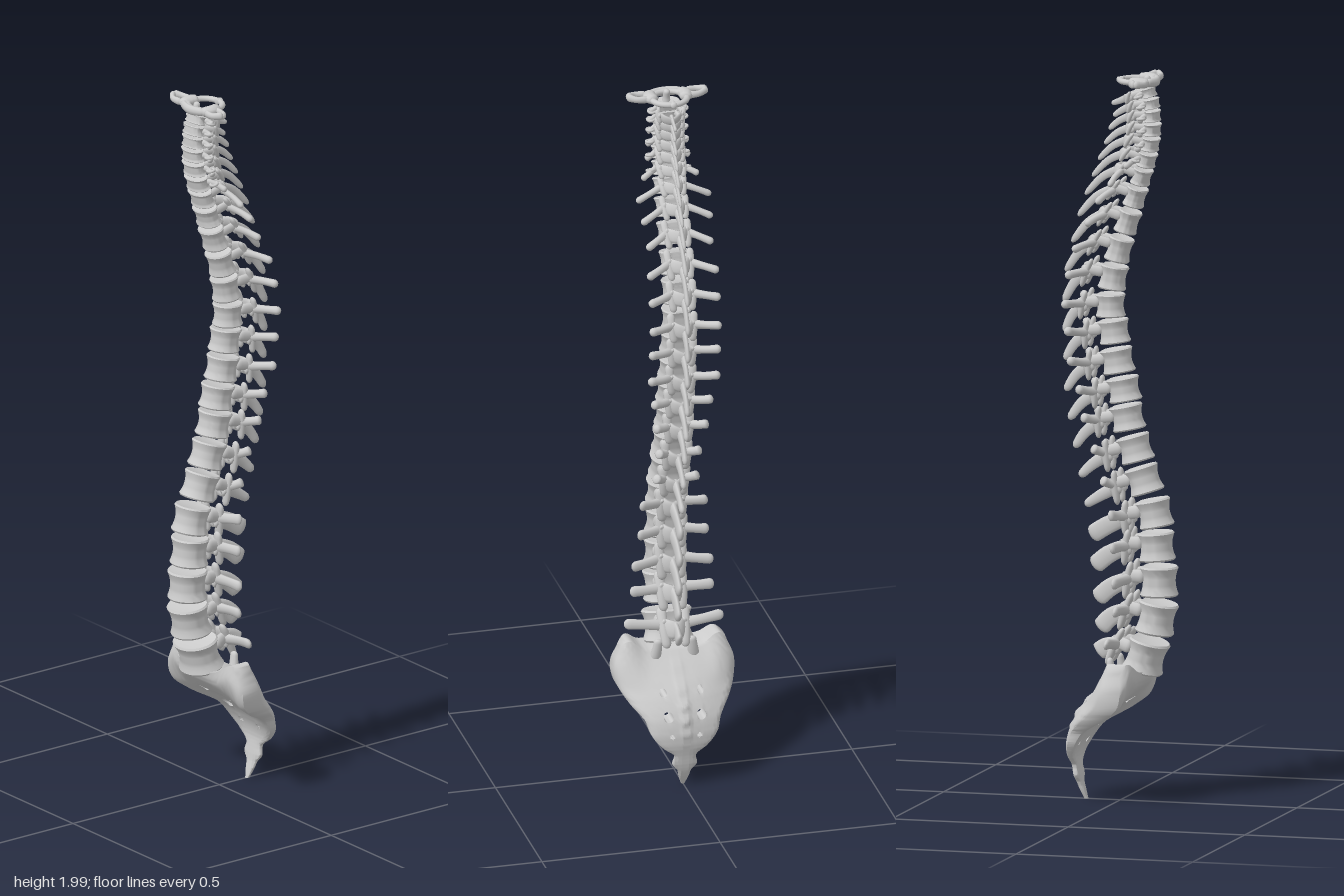
import * as THREE from 'three';
import { toCreasedNormals } from 'three/addons/utils/BufferGeometryUtils.js';

const bone = new THREE.MeshStandardMaterial({ color: 0xcccccc, side: THREE.DoubleSide });
const X_AXIS = new THREE.Vector3(1, 0, 0);
const SIDES = [1, -1];

function addMesh(parent, name, geometry) {
  const mesh = new THREE.Mesh(geometry, bone);
  mesh.name = name;
  parent.add(mesh);
  return mesh;
}

function indexed(pos, idx) {
  const g = new THREE.BufferGeometry();
  g.setAttribute('position', new THREE.Float32BufferAttribute(pos, 3));
  g.setIndex(idx);
  g.computeVertexNormals();
  return g;
}

// Piecewise linear lookup through [index, value] keys
function key(keys, i) {
  let k = 0;
  while (k < keys.length - 2 && i > keys[k + 1][0]) k++;
  const [[a, va], [b, vb]] = [keys[k], keys[k + 1]];
  return THREE.MathUtils.lerp(va, vb, THREE.MathUtils.clamp((i - a) / (b - a), 0, 1));
}

// Round-ended bony spur: each node is [x, y, z, thickness, height]
function limb(nodes, mirror = 1, steps = 14, around = 10) {
  const path = new THREE.CatmullRomCurve3(nodes.map(n => new THREE.Vector3(n[0] * mirror, n[1], n[2])));
  const radii = new THREE.CatmullRomCurve3(nodes.map(n => new THREE.Vector3(n[3], n[4], 0)));
  const dir = path.getPoint(1).sub(path.getPoint(0)).normalize();
  const ref = Math.abs(dir.y) > 0.85 ? new THREE.Vector3(0, 0, 1) : new THREE.Vector3(0, 1, 0);
  const pos = [], idx = [];
  for (let i = 0; i <= steps; i++) {
    const t = (1 - Math.cos(Math.PI * i / steps)) / 2;
    const c = path.getPoint(t), T = path.getTangent(t), r = radii.getPoint(t);
    const side = T.clone().cross(ref).normalize(), up = side.clone().cross(T);
    const end = Math.max(0, 1 - Math.min(t, 1 - t) / 0.14);
    const round = Math.sqrt(Math.max(0, 1 - end * end));
    for (let j = 0; j < around; j++) {
      const q = 2 * Math.PI * j / around;
      const p = c.clone().addScaledVector(side, r.x * round * Math.cos(q)).addScaledVector(up, r.y * round * Math.sin(q));
      pos.push(p.x, p.y, p.z);
      if (i < steps) {
        const a = i * around + j, b = i * around + (j + 1) % around;
        idx.push(a, a + around, b, a + around, b + around, b);
      }
    }
  }
  return indexed(pos, idx);
}

// Waisted drum with raised rims, hollowed at the back
function bodyGeometry(a, b, h) {
  const pts = [new THREE.Vector2(0, -0.47), new THREE.Vector2(0.8, -0.48), new THREE.Vector2(0.94, -0.5)];
  for (let k = -4; k <= 4; k++) pts.push(new THREE.Vector2(0.86 + 0.14 * (k / 4) ** 2, k * 0.11));
  pts.push(new THREE.Vector2(0.94, 0.5), new THREE.Vector2(0.8, 0.48), new THREE.Vector2(0, 0.47));
  const g = new THREE.LatheGeometry(pts, 32);
  const p = g.attributes.position;
  for (let i = 0; i < p.count; i++) {
    const x = p.getX(i);
    let z = p.getZ(i);
    if (z < 0) z *= 0.95 - 0.2 * Math.exp(-((x / 0.45) ** 2));
    p.setXYZ(i, x * a, p.getY(i) * h, z * b);
  }
  return toCreasedNormals(g, 0.7);
}

// Centreline heights and depths, from the lowest lumbar (0) to the second cervical (22)
const Y = [0.405, 0.51, 0.61, 0.705, 0.795, 0.885, 0.97, 1.055, 1.132, 1.21, 1.29, 1.362, 1.44,
  1.518, 1.595, 1.664, 1.72, 1.767, 1.81, 1.85, 1.887, 1.92, 1.95];
const Z = [0.07, 0.10, 0.107, 0.10, 0.095, 0.065, 0.04, 0.018, 0.008, -0.01, -0.02, -0.03, -0.022,
  -0.005, 0.02, 0.042, 0.06, 0.075, 0.085, 0.09, 0.09, 0.088, 0.08];
const HALF_WIDTH = [[0, 0.07], [1, 0.06], [4, 0.053], [9, 0.046], [12, 0.04], [16, 0.044], [22, 0.037]];
const HALF_DEPTH = [[0, 0.06], [4, 0.051], [9, 0.048], [12, 0.042], [14, 0.034], [16, 0.028], [22, 0.021]];
const WING_X = [[0, 0.14], [1, 0.118], [2, 0.115], [3, 0.1], [4, 0.095], [5, 0.06], [6, 0.06], [7, 0.075],
  [8, 0.085], [9, 0.1], [13, 0.1], [14, 0.093], [15, 0.1], [16, 0.105], [17, 0.08], [18, 0.062], [22, 0.052]];
const WING_Z = [[0, -0.07], [2, -0.095], [5, -0.1], [9, -0.108], [13, -0.1], [15, -0.08], [16, -0.06], [18, -0.018], [22, -0.018]];
const WING_Y = [[0, 0.045], [1, 0.025], [2, 0], [12, 0.012], [16, -0.015], [22, -0.008]];
const SPINE_Z = [[0, -0.065], [1, -0.06], [4, -0.085], [6, -0.115], [8, -0.145], [9, -0.155], [12, -0.16],
  [13, -0.155], [15, -0.12], [17, -0.08], [19, -0.045], [21, -0.02], [22, -0.025]];
const SPINE_DROP = [[0, 0], [1, 0.04], [2, 0.06], [4, 0.07], [7, 0.09], [9, 0.09], [13, 0.07], [17, 0.055], [22, 0.035]];
const BULK = [[0, 1], [4, 1], [5, 0.9], [12, 0.78], [17, 0.58], [22, 0.5]];

function vertebra(i) {
  const g = new THREE.Group();
  g.name = i < 5 ? 'lumbarVertebra' : i < 17 ? 'thoracicVertebra' : 'cervicalVertebra';
  const lo = Math.max(i - 1, 0), hi = Math.min(i + 1, 22);
  const pitch = Math.atan2(Z[hi] - Z[lo], Y[hi] - Y[lo]);
  const gap = (Y[hi] - Y[lo]) / (hi - lo);
  g.position.set(0, Y[i], Z[i]);
  g.rotation.x = pitch;
  const local = (x, y, z) => new THREE.Vector3(x, y, z).applyAxisAngle(X_AXIS, -pitch).toArray();

  const a = key(HALF_WIDTH, i), b = key(HALF_DEPTH, i), k = key(BULK, i), h = gap * 0.84;
  const lumbar = i < 5, neck = i > 16;
  const back = -b * 0.8, px = neck ? 0.032 : 0.028, pz = back - 0.026, roof = back - 0.046;
  addMesh(g, 'vertebralBody', bodyGeometry(a, b, h));

  // Rear spine
  const tip = local(0, -key(SPINE_DROP, i), key(SPINE_Z, i) - Z[i]);
  const mid = [0, tip[1] * 0.35 - 0.002, roof + (tip[2] - roof) * 0.5];
  addMesh(g, 'rearSpine', limb([
    [0, 0.002, roof + 0.012, 0.013 * k, 0.022 * k], [...mid, 0.008 * k, (lumbar ? 0.026 : 0.018) * k],
    [...tip, 0.010 * k, (lumbar ? 0.026 : 0.013) * k]]));

  for (const s of SIDES) {
    // Pedicle and lamina enclosing the canal
    addMesh(g, 'pedicle', limb([[a * 0.6, h * 0.18, back + 0.015, 0.011 * k, 0.019 * k],
      [px, h * 0.16, pz, 0.011 * k, 0.018 * k], [px, h * 0.08, pz - 0.014, 0.01 * k, 0.016 * k]], s));
    addMesh(g, 'lamina', limb([[px + 0.004, h * 0.1, pz + 0.006, 0.010 * k, 0.022 * k],
      [px * 0.6, -0.002, (pz + roof) / 2 - 0.008, 0.009 * k, 0.027 * k],
      [-0.003, -0.008, roof - 0.008, 0.009 * k, 0.024 * k]], s));
    // Upper and lower joints
    addMesh(g, 'facetJoint', limb([[px + 0.005, gap * 0.56, pz + 0.004, 0.014 * k, 0.008 * k],
      [px + 0.002, 0, pz - 0.008, 0.014 * k, 0.012 * k],
      [px - 0.003, -gap * 0.52, pz - 0.016, 0.013 * k, 0.008 * k]], s));
    // Side wing
    const w = local(key(WING_X, i), key(WING_Y, i), key(WING_Z, i));
    const thick = (lumbar ? 0.008 : 0.013) * k, root = neck ? -b * 0.4 : pz;
    addMesh(g, 'transverseWing', limb([[px - 0.004, h * 0.1, root, 0.013 * k, 0.017 * k],
      [(px + w[0]) / 2, (h * 0.1 + w[1]) / 2, (root + w[2]) / 2 - 0.004, thick, 0.014 * k],
      [w[0], w[1], w[2], thick * 1.15, 0.016 * k]], s));
    if (neck) {
      const ring = addMesh(g, 'transverseForamen', new THREE.TorusGeometry(0.0095, 0.004, 8, 16));
      ring.rotation.x = Math.PI / 2;
      ring.position.set(s * (a + 0.008), -0.003, -0.018);
    }
  }
  // Peg of the second neck vertebra
  if (i === 22) addMesh(g, 'dens', limb([[0, 0, 0.002, 0.014, 0.013], [0, 0.022, 0.006, 0.010, 0.010], [0, 0.046, 0.006, 0.009, 0.009]]));
  return g;
}

// Ring-shaped top vertebra
function atlas() {
  const g = new THREE.Group();
  g.name = 'atlas';
  g.position.set(0, 1.982, 0.048);
  const ring = addMesh(g, 'atlasRing', new THREE.TorusGeometry(0.048, 0.009, 10, 40));
  ring.rotation.x = Math.PI / 2;
  ring.scale.set(1, 0.95, 0.9);
  addMesh(g, 'frontTubercle', limb([[-0.05, 0, 0.04, 0.009, 0.011], [0, -0.002, 0.053, 0.01, 0.013], [0.05, 0, 0.04, 0.009, 0.011]]));
  addMesh(g, 'rearTubercle', limb([[0, 0, -0.036, 0.011, 0.010], [0, 0, -0.048, 0.011, 0.009], [0, 0.001, -0.058, 0.007, 0.007]]));
  for (const s of SIDES) {
    addMesh(g, 'lateralMass', limb([[0.042, 0.002, -0.008, 0.015, 0.012], [0.05, 0, 0.016, 0.02, 0.015], [0.042, 0, 0.046, 0.016, 0.012]], s));
    for (const z of [0.006, 0.040])
      addMesh(g, 'transverseBar', limb([[0.055, 0, z, 0.008, 0.011], [0.088, 0.001, z + 0.002, 0.007, 0.009],
        [0.112, 0.005, 0.024, 0.009, 0.012]], s));
  }
  return g;
}

// Rows: y, half width, front and back depth at the middle, front and back depth at the edge
const SACRUM = [[0.365, 0.145, 0.09, 0, 0.045, 0], [0.33, 0.165, 0.075, -0.035, 0.058, -0.015],
  [0.28, 0.163, 0.02, -0.085, 0.052, -0.035], [0.24, 0.14, -0.04, -0.115, 0.005, -0.075],
  [0.2, 0.105, -0.08, -0.133, -0.07, -0.115], [0.16, 0.091, -0.105, -0.14, -0.1, -0.128],
  [0.125, 0.062, -0.114, -0.138, -0.115, -0.132], [0.098, 0.03, -0.112, -0.132, -0.114, -0.129],
  [0.07, 0.034, -0.107, -0.127, -0.11, -0.123], [0.05, 0.019, -0.104, -0.122, -0.107, -0.118],
  [0.03, 0.014, -0.098, -0.114, -0.101, -0.111], [0.003, 0.005, -0.09, -0.102, -0.093, -0.099]];
const FORAMINA = [[0.052, 0.272, 0.010], [0.046, 0.214, 0.014], [0.038, 0.16, 0.008]];

// Curved two-sided shield with open foramina, tapering into the tailbone
function sacrumGeometry(rows = 56, cols = 44) {
  const curve = o => new THREE.CatmullRomCurve3(SACRUM.map(r => new THREE.Vector3(r[o], r[o + 1], r[o + 2])));
  const c1 = curve(0), c2 = curve(3);
  const grid = [], W = cols + 1;
  for (let v = 0; v <= rows; v++) {
    const t = v / rows, A = c1.getPoint(t), B = c2.getPoint(t);
    for (let u = 0; u <= cols; u++) {
      const q = 2 * u / cols - 1;
      grid.push({ q, x: q * A.y, y: A.x, row: [A.z, B.x, B.y, B.z], t });
    }
  }
  const holeAt = (v, u) => {
    const p = grid[v * W + u], r = grid[(v + 1) * W + u + 1];
    const x = Math.abs(p.x + r.x) / 2, y = (p.y + r.y) / 2;
    return FORAMINA.find(f => Math.hypot(x - f[0], y - f[1]) < f[2]);
  };
  const open = [];
  for (let v = 0; v < rows; v++) for (let u = 0; u < cols; u++) open.push(holeAt(v, u));
  const corners = (v, u) => [v * W + u, (v + 1) * W + u, (v + 1) * W + u + 1, v * W + u + 1];
  // Pull the rims of the openings onto circles
  open.forEach((f, n) => f && corners(Math.floor(n / cols), n % cols).forEach(c => {
    const p = grid[c], s = Math.sign(p.x), dx = p.x - s * f[0], dy = p.y - f[1], d = Math.hypot(dx, dy);
    if (d > f[2] * 0.7) { p.x = s * f[0] + dx * f[2] / d; p.y = f[1] + dy * f[2] / d; }
  }));
  const front = [], rear = [], idx = [], N = grid.length;
  for (const { q, x, y, row: [fm, bm, fe, be], t } of grid) {
    const e = q * q, edge = 0.3 * Math.max(0, (Math.abs(q) - 0.85) / 0.15) ** 2;
    const top = Math.max(0, 1 - t * 5), lift = 0.03 * top * Math.exp(-(((Math.abs(x) - 0.125) / 0.03) ** 2));
    const crest = t < 0.55 ? 0.013 * Math.sin(Math.PI * t / 0.55) * Math.exp(-((x / 0.012) ** 2)) * (0.7 + 0.3 * Math.cos(t * 70)) : 0;
    const f = fm + (fe - fm) * e, b = bm + (be - bm) * e - crest, m = (f + b) / 2;
    front.push(x, y + lift, f + (m - f) * edge);
    rear.push(x, y + lift, b + (m - b) * edge);
  }
  const filled = (v, u) => v >= 0 && u >= 0 && v < rows && u < cols && !open[v * cols + u];
  for (let v = 0; v < rows; v++) for (let u = 0; u < cols; u++) {
    if (!filled(v, u)) continue;
    const c = corners(v, u), [p, d, r, s] = c;
    idx.push(p, d, s, d, r, s, p + N, s + N, d + N, d + N, s + N, r + N);
    [[0, -1], [1, 0], [0, 1], [-1, 0]].forEach(([dv, du], k) => {
      if (filled(v + dv, u + du)) return;
      const i = c[k], j = c[(k + 1) % 4];
      idx.push(i, i + N, j + N, i, j + N, j);
    });
  }
  return toCreasedNormals(indexed([...front, ...rear], idx), 0.9);
}

export function createModel() {
  const model = new THREE.Group();
  model.name = 'spine';
  for (let i = 0; i < Y.length; i++) model.add(vertebra(i));
  model.add(atlas());
  addMesh(model, 'sacrum', sacrumGeometry());
  for (const s of SIDES)
    addMesh(model, 'sacralFacet', limb([[0.055, 0.335, -0.005, 0.018, 0.014], [0.05, 0.37, -0.012, 0.014, 0.011], [0.046, 0.4, -0.016, 0.012, 0.008]], s));
  return model;
}
